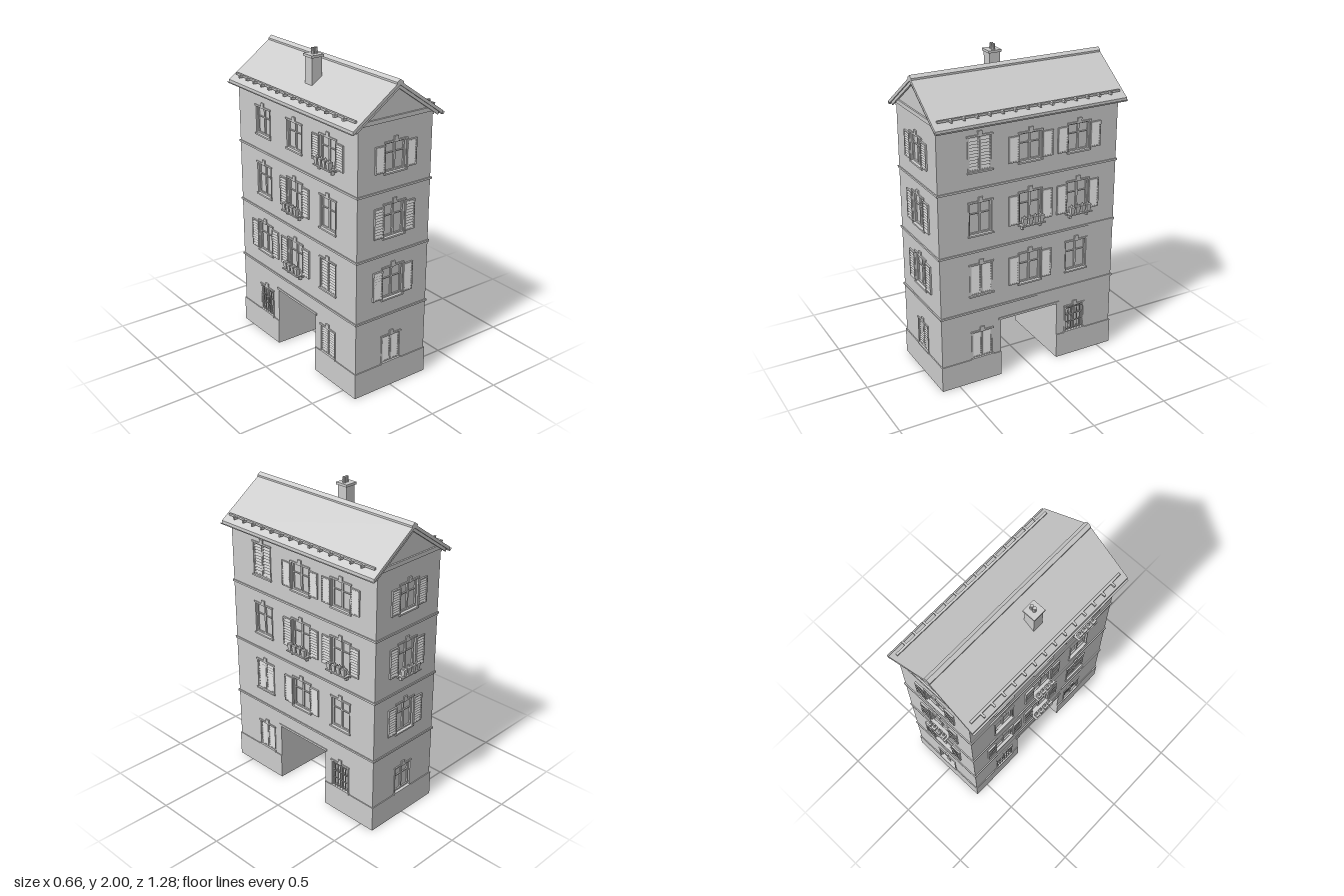
import * as THREE from 'three';

const HW = 0.265, HL = 0.6, CZ = 0.01, T = 0.02; // half width, half length, z centre, wall thickness
const PASS = 0.2, PASS_H = 0.39, PLINTH = 0.165;
const mat = new THREE.MeshStandardMaterial({ color: 0xcccccc, flatShading: true, side: THREE.DoubleSide });

function add(parent, name, geo, x = 0, y = 0, z = 0) {
  const m = new THREE.Mesh(geo, mat);
  m.name = name;
  m.position.set(x, y, z);
  parent.add(m);
  return m;
}
const box = (parent, name, w, h, d, x, y, z) => add(parent, name, new THREE.BoxGeometry(w, h, d), x, y, z);

function group(parent, name, x = 0, y = 0, z = 0) {
  const g = new THREE.Group();
  g.name = name;
  g.position.set(x, y, z);
  parent.add(g);
  return g;
}

function poly(pts) {
  return new THREE.Shape(pts.map(p => new THREE.Vector2(p[0], p[1])));
}

// Louvred leaf, standing on y = 0 and centred on x
function shutterLeaf(parent, name, w, h, x, y, z) {
  const g = group(parent, name, x, y, z), b = 0.008, d = 0.01;
  for (const s of [-1, 1]) {
    box(g, 'stile', b, h, d, s * (w - b) / 2, h / 2, 0);
    box(g, 'rail', w - 2 * b, b, d, 0, h / 2 + s * (h - b) / 2, 0);
  }
  const n = 10, step = (h - 2 * b) / n;
  for (let i = 0; i < n; i++) {
    box(g, 'slat', w - 2 * b, step * 1.05, 0.003, 0, b + (i + 0.5) * step, 0).rotation.x = -0.4;
  }
}

// Tray with brackets and angular plant pots
function flowerBox(parent, x, y) {
  const g = group(parent, 'flowerBox', x, y, 0);
  box(g, 'tray', 0.16, 0.008, 0.045, 0, 0.004, 0.028);
  for (const s of [-1, 1]) box(g, 'bracket', 0.012, 0.028, 0.02, s * 0.06, -0.014, 0.014);
  for (let i = 0; i < 4; i++) {
    const pot = new THREE.CylinderGeometry(0.022, 0.015, 0.045, 4);
    pot.rotateY(Math.PI / 4);
    add(g, 'pot', pot, -0.057 + i * 0.038, 0.03, 0.034);
    add(g, 'plant', new THREE.ConeGeometry(0.012, 0.02 + 0.008 * (i % 2), 5), -0.057 + i * 0.038, 0.06, 0.03);
  }
}

// One window. kind: open (shutters folded back), plain, closed (shutters shut), bars
function windowUnit(wall, { u, y, w, h, kind, flowers }) {
  const g = group(wall, 'window', u, y, 0), b = 0.01;
  // Sill, lintel and keystone
  box(g, 'sill', w + 0.016, 0.01, 0.03, 0, -0.004, -0.005);
  box(g, 'lintel', w + 0.016, 0.01, 0.014, 0, h + 0.004, 0);
  box(g, 'keystone', 0.028, 0.034, 0.014, 0, h + 0.015, 0.001);
  for (const s of [-1, 1]) box(g, 'jamb', 0.006, h, 0.008, s * (w / 2 + 0.001), h / 2, 0);
  if (kind === 'closed') {
    for (const s of [-1, 1]) shutterLeaf(g, 'closedShutter', w / 2 - 0.003, h - 0.004, s * w / 4, 0.002, -0.006);
  } else {
    // Glass with casement frames
    box(g, 'glass', w, h, 0.002, 0, h / 2, -0.019);
    for (const s of [-1, 1]) {
      box(g, 'frameSide', b, h, 0.01, s * (w - b) / 2, h / 2, -0.014);
      box(g, 'frameRail', w, b, 0.01, 0, h / 2 + s * (h - b) / 2, -0.014);
    }
    box(g, 'mullion', 0.012, h, 0.01, 0, h / 2, -0.014);
    box(g, 'transom', w, 0.006, 0.008, 0, h * 0.64, -0.014);
  }
  if (kind === 'open') {
    for (const s of [-1, 1]) shutterLeaf(g, 'openShutter', 0.07, h - 0.016, s * (w / 2 + 0.038), 0.008, 0.006);
  }
  if (kind === 'bars') {
    for (let i = 0; i < 7; i++) box(g, 'bar', 0.004, h, 0.004, (i / 6 - 0.5) * (w - 0.01), h / 2, 0);
    for (let i = 0; i < 4; i++) box(g, 'crossBar', w, 0.004, 0.004, 0, h * (0.08 + 0.28 * i), 0);
  }
  if (flowers) flowerBox(g, 0, 0.0);
}

// Wall panel with holes, outer face on local z = 0
function wallPanel(parent, name, outline, windows) {
  const g = group(parent, name), shape = poly(outline);
  for (const { u, y, w, h } of windows) {
    shape.holes.push(poly([[u - w / 2, y], [u - w / 2, y + h], [u + w / 2, y + h], [u + w / 2, y]]));
  }
  add(g, 'wall', new THREE.ExtrudeGeometry(shape, { depth: T, bevelEnabled: false }), 0, 0, -T);
  windows.forEach(o => windowUnit(g, o));
  return g;
}

const FLOORS = [{ y: 0.172, h: 0.178 }, { y: 0.605, h: 0.2 }, { y: 1.0, h: 0.203 }, { y: 1.395, h: 0.175 }];
const KINDS = { O: 'open', P: 'plain', C: 'closed', B: 'bars' };

// Window rows from the ground up; each letter is a kind, + adds a flower box, - leaves a gap
function windowRows(rows, us) {
  const out = [];
  rows.forEach((row, f) => row.split(' ').forEach((c, i) => {
    if (c === '-') return;
    const kind = KINDS[c[0]], tall = f === 3 && us.length > 1 && kind === 'closed';
    out.push({ u: us[i], y: FLOORS[f].y, w: f === 0 ? 0.138 : 0.15, h: tall ? 0.208 : FLOORS[f].h, kind, flowers: c[1] === '+' });
  }));
  return out;
}

export function createModel() {
  const model = new THREE.Group();
  model.name = 'townHouse';

  // Gable walls
  const gable = [[-HW, 0], [HW, 0], [HW, 1.71], [0, 1.9], [-HW, 1.71]];
  const front = wallPanel(model, 'frontWall', gable, windowRows(['C', 'O', 'O', 'O'], [0]));
  front.position.z = CZ + HL;
  const back = wallPanel(model, 'backWall', gable, windowRows(['P', 'O', 'O+', 'O'], [0]));
  back.position.z = CZ - HL;
  back.rotation.y = Math.PI;

  // Long walls, notched for the passage
  const e = HL - T;
  const side = [[-e, 0], [-PASS, 0], [-PASS, PASS_H], [PASS, PASS_H], [PASS, 0], [e, 0], [e, 1.71], [-e, 1.71]];
  const left = wallPanel(model, 'leftWall', side,
    windowRows(['C - B', 'C O P', 'P O+ O+', 'C O O'], [-0.33, 0, 0.33]));
  left.position.set(HW, 0, CZ);
  left.rotation.y = Math.PI / 2;
  const right = wallPanel(model, 'rightWall', side,
    windowRows(['B - C', 'O O+ C', 'P O+ P', 'P P O+'], [-0.33, 0, 0.33]));
  right.position.set(-HW, 0, CZ);
  right.rotation.y = -Math.PI / 2;

  // Passage with ceiling beams
  const passage = group(model, 'passage', 0, 0, CZ);
  for (const s of [-1, 1]) box(passage, 'passageWall', 2 * HW - 0.01, PASS_H, 0.01, 0, PASS_H / 2, s * (PASS + 0.005));
  box(passage, 'passageCeiling', 2 * HW - 0.01, 0.01, 2 * PASS, 0, PASS_H + 0.02, 0);
  for (let i = 0; i < 6; i++) box(passage, 'ceilingBeam', 0.03, 0.025, 2 * PASS, -0.225 + i * 0.09, PASS_H + 0.0135, 0);
  for (const s of [-1, 1]) box(passage, 'passageLintel', 0.01, 0.014, 2 * PASS + 0.03, s * HW, PASS_H + 0.008, 0);

  // Plinth and string courses
  const trim = group(model, 'trim', 0, 0, CZ), pl = HL - PASS;
  for (const s of [-1, 1]) {
    box(trim, 'plinthEnd', 2 * HW + 0.012, PLINTH, 0.012, 0, PLINTH / 2, s * HL);
    for (const k of [-1, 1]) box(trim, 'plinthSide', 0.012, PLINTH, pl, s * HW, PLINTH / 2, k * (PASS + pl / 2));
    for (const y of [0.497, 0.893, 1.29]) {
      box(trim, 'stringCourseEnd', 2 * HW + 0.014, 0.012, 0.014, 0, y, s * HL);
      box(trim, 'stringCourseSide', 0.014, 0.012, 2 * HL, s * HW, y, 0);
    }
    box(trim, 'gableCornice', 2 * HW + 0.02, 0.025, 0.02, 0, 1.708, s * HL);
    box(trim, 'eavesCornice', 0.02, 0.025, 2 * HL, s * HW, 1.685, 0);
  }

  // Roof slabs as one extruded chevron
  const roof = group(model, 'roof', 0, 0, 0.01), RL = 1.25;
  const chevron = (t, b, x, drop) => poly([[0, t], [x, t - drop], [x, b - drop], [0, b], [-x, b - drop], [-x, t - drop]]);
  const extrude = (shape, depth) => new THREE.ExtrudeGeometry(shape, { depth, bevelEnabled: false });
  add(roof, 'roofSlab', extrude(chevron(1.915, 1.893, 0.318, 0.223), RL), 0, 0, -RL / 2);
  add(roof, 'ridgeCap', extrude(chevron(1.926, 1.908, 0.022, 0.0155), RL), 0, 0, -RL / 2);
  for (const s of [-1, 1]) {
    add(roof, 'bargeBoard', extrude(chevron(1.9, 1.872, 0.29, 0.203), 0.012), 0, 0, s * 0.612 - 0.006);
    // Gutter, snow rail and its stops
    const gutter = new THREE.CylinderGeometry(0.014, 0.014, RL, 10, 1, true, -Math.PI / 2, Math.PI);
    gutter.rotateX(Math.PI / 2);
    add(roof, 'gutter', gutter, s * 0.317, 1.683, 0);
    box(roof, 'snowRail', 0.014, 0.012, 1.19, s * 0.278, 1.73, 0);
    for (let i = 0; i < 14; i++) box(roof, 'snowStop', 0.028, 0.014, 0.012, s * 0.297, 1.729, -0.52 + i * 0.08);
  }

  // Chimney with twin flues
  const chimney = group(model, 'chimney', -0.146, 0, 0.04);
  box(chimney, 'shaft', 0.07, 0.19, 0.07, 0, 1.855, 0);
  box(chimney, 'cap', 0.085, 0.015, 0.085, 0, 1.957, 0);
  for (const s of [-1, 1]) add(chimney, 'flue', new THREE.CylinderGeometry(0.01, 0.012, 0.04, 10), 0.007 + s * 0.01, 1.98, 0);

  return model;
}
